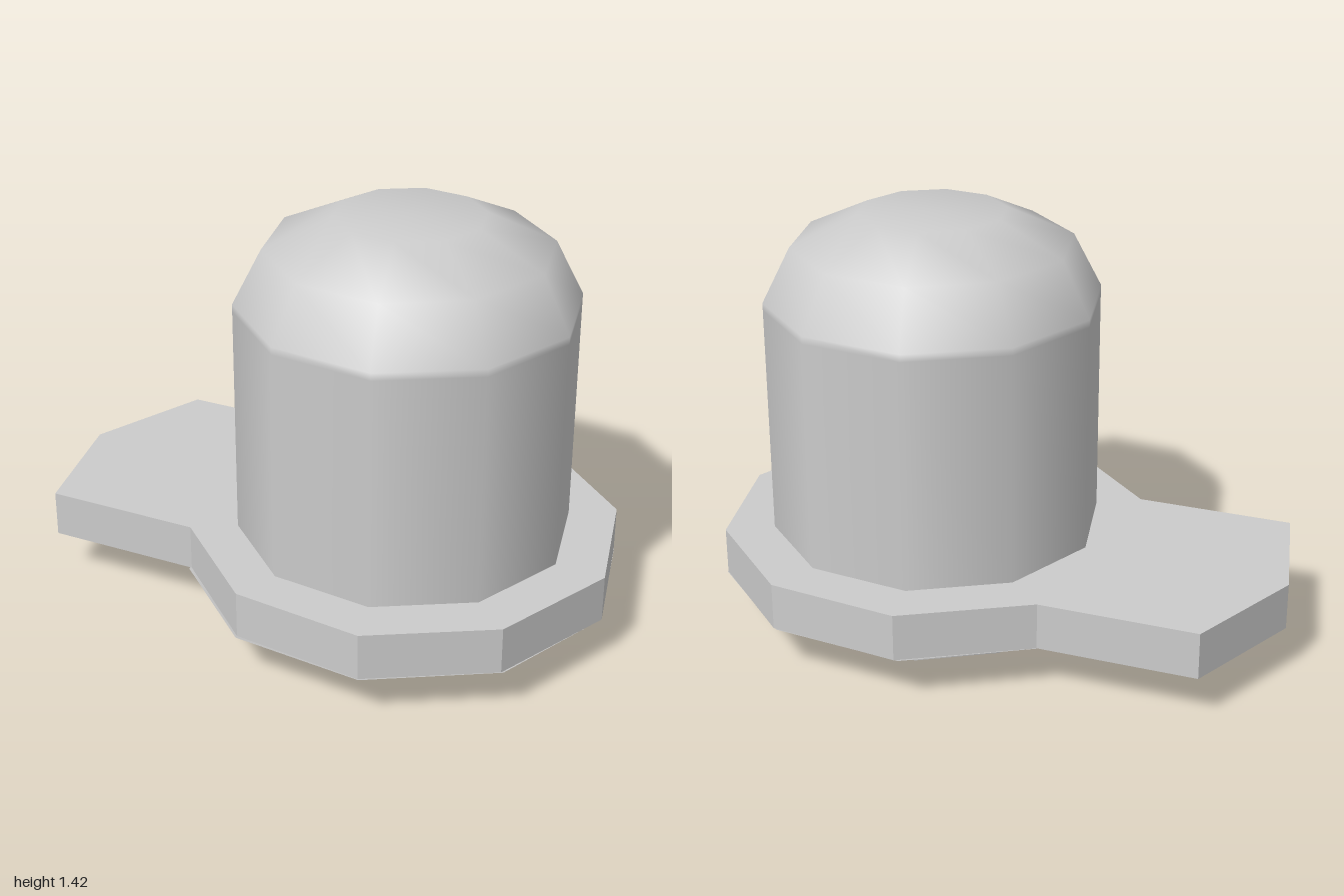
import * as THREE from 'three';

const SIDES = 10;
const CENTRE_X = 0.265;
const PLATE_BOTTOM = 0.16;
const PLATE_TOP = 0.32;

// Plate outline as [x, z]: round end first, then the tab
const ROUND = [
  [-0.28, -0.49], [0.12, -0.72], [0.57, -0.67], [0.9, -0.37], [1, 0.07],
  [0.81, 0.49], [0.42, 0.715], [-0.03, 0.665], [-0.365, 0.365],
];
const TAB = [[-0.905, 0.365], [-1, -0.08], [-0.815, -0.49]];

export function createModel() {
  const group = new THREE.Group();
  const smooth = new THREE.MeshStandardMaterial({ color: 0xcccccc, side: THREE.DoubleSide });
  const flat = new THREE.MeshStandardMaterial({ color: 0xcccccc, side: THREE.DoubleSide, flatShading: true });

  const add = (name, geometry, material) => {
    const mesh = new THREE.Mesh(geometry, material);
    mesh.name = name;
    group.add(mesh);
    return mesh;
  };

  // Ten-sided turned part; angle is that of its first corner, from +x towards +z
  const turned = (name, profile, angle) => {
    const points = profile.map(([r, y]) => new THREE.Vector2(r, y));
    const start = THREE.MathUtils.degToRad(90 - angle);
    add(name, new THREE.LatheGeometry(points, SIDES, start), smooth).position.x = CENTRE_X;
  };

  // Flat horizontal sheet facing up (+1) or down (-1)
  const sheet = (name, outline, y, facing) => {
    const shape = new THREE.Shape(outline.map(([x, z]) => new THREE.Vector2(x, -facing * z)));
    const geometry = new THREE.ShapeGeometry(shape);
    geometry.rotateX(-facing * Math.PI / 2);
    geometry.translate(0, y, 0);
    add(name, geometry, flat);
  };

  // Domed body
  turned('dome', [
    [0.567, PLATE_TOP], [0.567, 1.11], [0.567, 1.135], [0.472, 1.32], [0.248, 1.424], [0, 1.424],
  ], 6);

  // Hollow base plate: top, rim wall and the underside of the tab
  const outline = [...ROUND, ...TAB];
  sheet('plateTop', outline, PLATE_TOP, 1);
  sheet('tabUnderside', [ROUND.at(-1), ...TAB, ROUND[0], [-0.468, -0.07]], PLATE_BOTTOM, -1);

  const positions = [];
  outline.forEach(([ax, az], i) => {
    const [bx, bz] = outline[(i + 1) % outline.length];
    positions.push(
      ax, PLATE_BOTTOM, az, ax, PLATE_TOP, az, bx, PLATE_TOP, bz,
      ax, PLATE_BOTTOM, az, bx, PLATE_TOP, bz, bx, PLATE_BOTTOM, bz,
    );
  });
  const rim = new THREE.BufferGeometry();
  rim.setAttribute('position', new THREE.Float32BufferAttribute(positions, 3));
  rim.computeVertexNormals();
  add('plateRim', rim, flat);

  // Sloping underside and the short open neck below it
  turned('neckFlange', [[0.461, 0], [0.471, 0.095], [0.737, PLATE_BOTTOM]], 5.5);

  return group;
}
